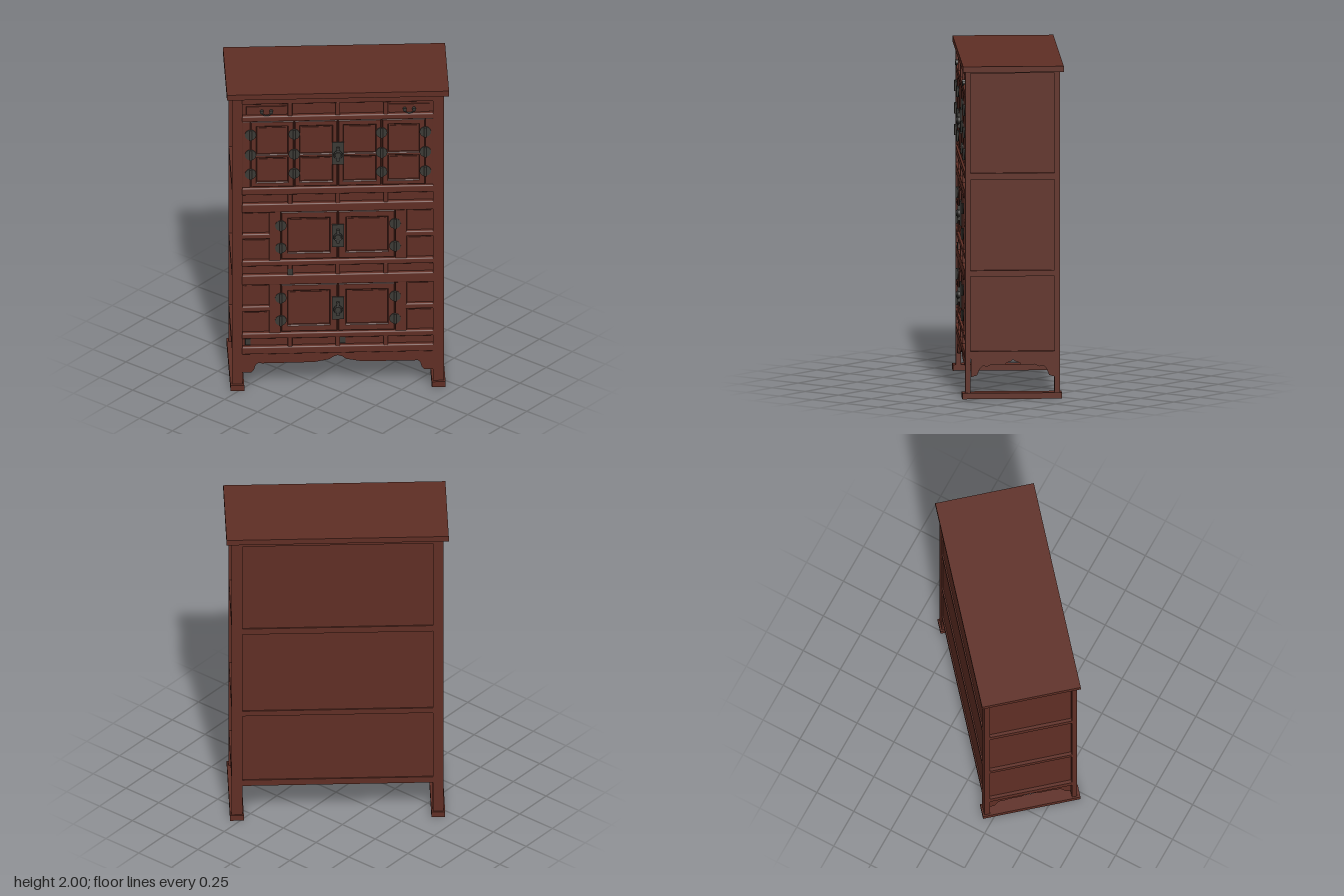
import * as THREE from 'three';
import { RoundedBoxGeometry } from 'three/addons/geometries/RoundedBoxGeometry.js';

const wood = new THREE.MeshStandardMaterial({ color: 0x5f2e24 });
wood.name = 'red brown wood';
const iron = new THREE.MeshStandardMaterial({ color: 0x3b3935 });
iron.name = 'dark iron';

const FACE = 0.262; // depth of the recessed front panels

export function createModel() {
  const root = new THREE.Group();
  const cabinet = new THREE.Group();
  cabinet.name = 'cabinet';
  cabinet.rotation.y = 0.711;
  root.add(cabinet);

  const add = (name, geo, mat = wood) => {
    const m = new THREE.Mesh(geo, mat);
    m.name = name;
    cabinet.add(m);
    return m;
  };
  // box given by its limits
  const box = (name, x0, x1, y0, y1, z0, z1, mat = wood, round = 0) => {
    const s = [x1 - x0, y1 - y0, z1 - z0];
    const geo = round ? new RoundedBoxGeometry(...s, 2, round) : new THREE.BoxGeometry(...s);
    add(name, geo, mat).position.set((x0 + x1) / 2, (y0 + y1) / 2, (z0 + z1) / 2);
  };
  // thin raised panel on the front
  const panel = (name, x0, x1, y0, y1, m = 0.012) =>
    box(name, x0 + m, x1 - m, y0 + m, y1 - m, FACE - 0.005, FACE + 0.005);
  const rect = (P, x0, x1, y0, y1) => new P([[x0, y0], [x1, y0], [x1, y1], [x0, y1]]
    .map(p => new THREE.Vector2(...p)));
  // moulded door frame with openings
  const doorFrame = (x0, x1, y0, y1, holes) => {
    const s = rect(THREE.Shape, x0, x1, y0, y1);
    holes.forEach(h => {
      s.holes.push(rect(THREE.Path, ...h));
      panel('doorPanel', ...h);
    });
    add('doorFrame', new THREE.ExtrudeGeometry(s, {
      depth: 0.012, bevelThickness: 0.005, bevelSize: 0.005, bevelOffset: -0.005, bevelSegments: 1,
    })).position.z = FACE;
  };
  // scalloped apron from a half profile, mirrored
  const apron = (name, top, half, depth) => {
    const end = half[half.length - 1][0];
    const pts = [[-end, top], ...half.slice(1).reverse().map(([x, y]) => [-x, y]), ...half, [end, top]];
    const s = new THREE.Shape(pts.map(p => new THREE.Vector2(...p)));
    return add(name, new THREE.ExtrudeGeometry(s, { depth, bevelEnabled: false }));
  };
  // round split hinge with its knuckle
  const hinge = (x, y) => {
    const plate = add('hingePlate', new THREE.CylinderGeometry(0.034, 0.034, 0.006, 20), iron);
    plate.rotation.x = Math.PI / 2;
    plate.position.set(x, y, 0.284);
    add('hingeKnuckle', new THREE.CylinderGeometry(0.008, 0.008, 0.066, 10), iron).position.set(x, y, 0.289);
  };
  // tall lock plate with boss, ring and bar
  const lock = y => {
    box('lockPlate', -0.035, 0.035, y - 0.075, y + 0.075, 0.278, 0.287, iron);
    const boss = add('lockBoss', new THREE.CylinderGeometry(0.018, 0.022, 0.025, 14), iron);
    boss.rotation.x = Math.PI / 2;
    boss.position.set(0, y, 0.298);
    add('lockRing', new THREE.TorusGeometry(0.023, 0.005, 6, 18), iron).position.set(0, y - 0.002, 0.3);
    box('lockBar', -0.008, 0.008, y - 0.045, y + 0.045, 0.285, 0.302, iron);
  };

  // body, top and posts
  box('body', -0.61, 0.61, 0.245, 1.97, -0.272, FACE);
  box('topBoard', -0.661, 0.661, 1.965, 2, -0.3, 0.3);
  for (const s of [-1, 1]) {
    const side = (name, a, b, ...rest) => box(name, Math.min(s * a, s * b), Math.max(s * a, s * b), ...rest);
    side('frontPost', 0.567, 0.63, 0.02, 1.966, 0.253, 0.285);
    side('backPost', 0.567, 0.63, 0.02, 1.966, -0.28, -0.247);
    side('footRunner', 0.558, 0.64, 0, 0.036, -0.29, 0.303);
    for (const [y0, y1] of [[0.24, 0.285], [0.735, 0.77], [1.315, 1.355], [1.955, 1.966]])
      side('sideRail', 0.6, 0.629, y0, y1, -0.25, 0.256);
    const a = apron('sideApron', 0.25, [[0, 0.235], [0.015, 0.222], [0.04, 0.215], [0.05, 0.203], [0.13, 0.205],
      [0.155, 0.192], [0.18, 0.198], [0.198, 0.18], [0.215, 0.14], [0.25, 0.13]], 0.02);
    a.rotation.y = Math.PI / 2;
    a.position.x = s > 0 ? 0.602 : -0.622;
  }
  for (const [y0, y1] of [[0.24, 0.28], [0.735, 0.77], [1.315, 1.355], [1.94, 1.966]])
    box('backRail', -0.58, 0.58, y0, y1, -0.28, -0.26);

  apron('frontApron', 0.26, [[0, 0.216], [0.025, 0.208], [0.05, 0.19], [0.1, 0.18], [0.14, 0.172], [0.45, 0.17],
    [0.475, 0.172], [0.49, 0.16], [0.5, 0.125], [0.515, 0.11], [0.57, 0.11]], 0.022).position.z = 0.256;

  // front rails
  for (const [y0, y1] of [[0.235, 0.285], [0.34, 0.378], [0.703, 0.77], [0.83, 0.868], [1.193, 1.252],
    [1.312, 1.36], [1.808, 1.846], [1.926, 1.966]])
    box('frontRail', -0.572, 0.572, y0, y1, 0.25, 0.288, wood, 0.008);

  // narrow rows of four panels
  for (const [y0, y1] of [[0.285, 0.34], [0.77, 0.83], [1.252, 1.312], [1.846, 1.926]]) {
    for (const x of [-0.285, 0, 0.285])
      box('rowDivider', x - 0.014, x + 0.014, y0 - 0.008, y1 + 0.008, 0.25, 0.286, wood, 0.007);
    for (let i = 0; i < 4; i++) {
      const x = -0.565 + i * 0.2825;
      panel('rowPanel', x + 0.01, x + 0.272, y0, y1, 0.007);
    }
  }

  // drawer fronts with pulls
  for (const x of [-0.425, 0.425]) {
    box('drawerFront', x - 0.12, x + 0.12, 1.85, 1.905, FACE - 0.01, 0.274);
    for (const d of [-0.028, 0.028]) {
      const knob = add('pullKnob', new THREE.CylinderGeometry(0.011, 0.011, 0.022, 12), iron);
      knob.rotation.x = Math.PI / 2;
      knob.position.set(x + d, 1.875, 0.283);
    }
    const pull = add('pullHandle', new THREE.TorusGeometry(0.028, 0.005, 6, 14, Math.PI), iron);
    pull.rotation.z = Math.PI;
    pull.scale.y = 0.7;
    pull.position.set(x, 1.873, 0.29);
  }

  // four upper doors, each with two panels
  for (const s of [-1, 1]) {
    for (const [a, b, c, d] of [[0.003, 0.258, 0.035, 0.225], [0.262, 0.52, 0.3, 0.482]]) {
      const order = (p, q) => (s > 0 ? [p, q] : [-q, -p]);
      doorFrame(...order(a, b), 1.362, 1.806,
        [[...order(c, d), 1.395, 1.56], [...order(c, d), 1.582, 1.77]]);
    }
    box('upperJamb', s * 0.545 - 0.024, s * 0.545 + 0.024, 1.36, 1.808, 0.25, 0.281, wood, 0.006);
    for (const x of [0.26, 0.52]) for (const y of [1.455, 1.585, 1.72]) hinge(s * x, y);
  }
  lock(1.585);

  // middle and lower cupboards
  for (const y of [0.868, 0.378]) {
    const top = y + 0.325;
    for (const s of [-1, 1]) {
      const order = (p, q) => (s > 0 ? [p, q] : [-q, -p]);
      doorFrame(...order(0.003, 0.338), y + 0.003, top - 0.003,
        [[...order(0.05, 0.296), y + 0.047, y + 0.278]]);
      box('cupboardPost', ...order(0.342, 0.41), y - 0.01, top + 0.01, 0.25, 0.284, wood, 0.008);
      box('sideBar', ...order(0.4, 0.572), y + 0.144, y + 0.18, 0.25, 0.284, wood, 0.008);
      panel('sidePanel', ...order(0.41, 0.567), y, y + 0.144);
      panel('sidePanel', ...order(0.41, 0.567), y + 0.18, top);
      for (const h of [0.083, 0.235]) hinge(s * 0.34, y + h);
    }
    lock(y + 0.16);
  }

  // small iron plates on the narrow rows
  for (const [x, y] of [[-0.285, 0.79], [0.03, 0.312], [-0.535, 0.312]])
    box('ironPlate', x - 0.016, x + 0.016, y - 0.02, y + 0.02, x === -0.285 ? 0.283 : 0.264, x === -0.285 ? 0.289 : 0.27, iron);

  return root;
}
